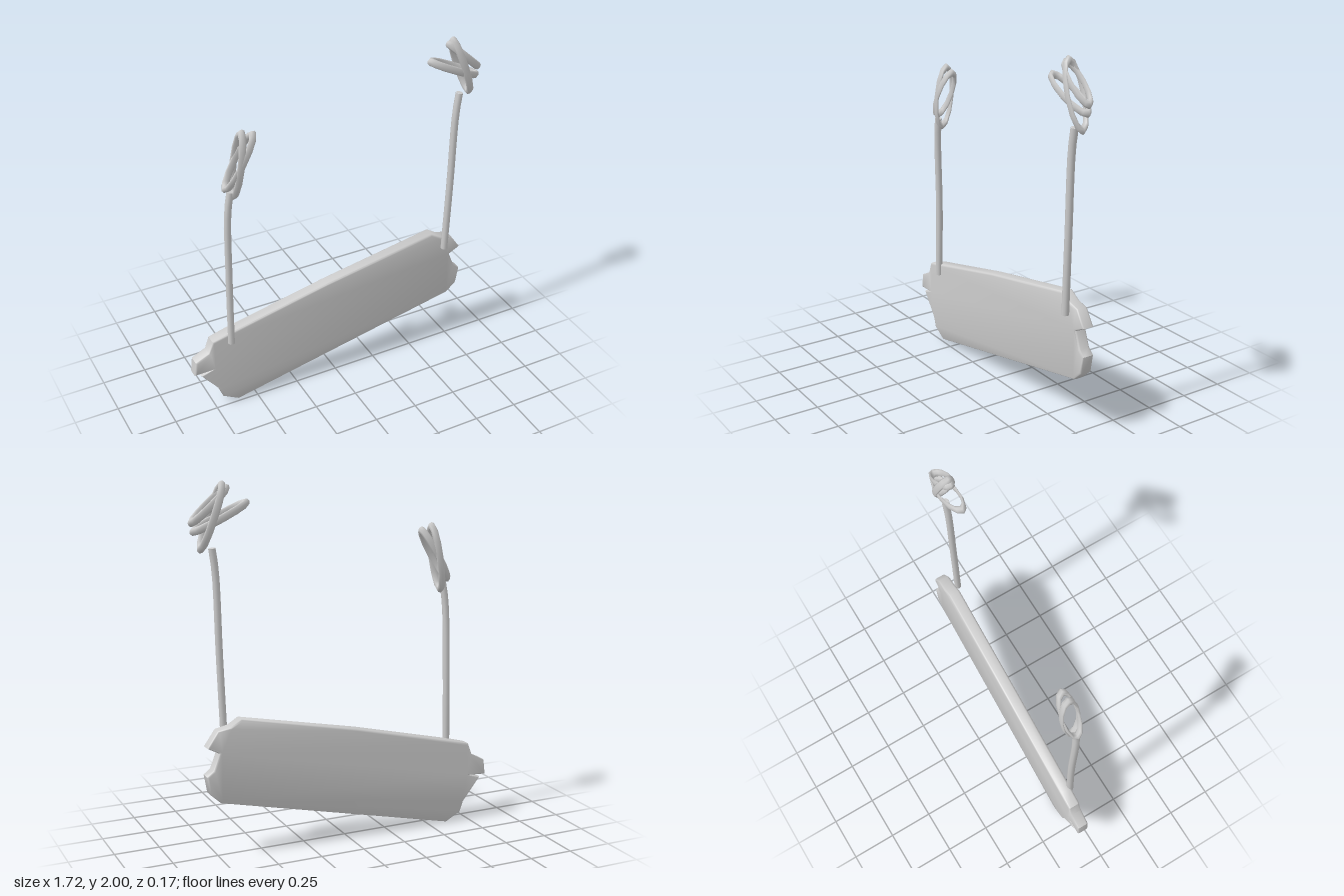
import * as THREE from 'three';
import { toCreasedNormals } from 'three/addons/utils/BufferGeometryUtils.js';

const material = new THREE.MeshStandardMaterial({ color: 0xcccccc });

function add(group, name, geometry) {
  const mesh = new THREE.Mesh(geometry, material);
  mesh.name = name;
  group.add(mesh);
  return mesh;
}

// Tilted plank with broken ends and softened edges
function boardGeometry() {
  const outline = [
    [-0.61, 0.005], [-0.7, 0.055], [-0.72, 0.115], [-0.825, 0.25], [-0.755, 0.27],
    [-0.86, 0.262], [-0.85, 0.35], [-0.77, 0.39], [-0.745, 0.46], [-0.65, 0.487],
    [-0.05, 0.63], [0.62, 0.765], [0.68, 0.728], [0.75, 0.712], [0.81, 0.625],
    [0.745, 0.59], [0.78, 0.5], [0.817, 0.47], [0.8, 0.37], [0.74, 0.315],
  ].map(([x, y]) => new THREE.Vector2(x, y));
  const bevel = 0.012;
  const geometry = new THREE.ExtrudeGeometry(new THREE.Shape(outline), {
    depth: 0.046, bevelThickness: bevel, bevelSize: bevel, bevelOffset: -bevel, bevelSegments: 3,
  });
  // The plank is turned slightly about the vertical
  const p = geometry.attributes.position;
  for (let i = 0; i < p.count; i++) p.setZ(i, p.getZ(i) - 0.023 - 0.036 + 0.02 * p.getX(i));
  return toCreasedNormals(geometry, 0.9);
}

// Slightly bent rope with closed ends
function addRope(group, name, points) {
  const rope = new THREE.Group();
  rope.name = name;
  const path = new THREE.CatmullRomCurve3(points.map((q) => new THREE.Vector3(...q)));
  add(rope, 'strand', new THREE.TubeGeometry(path, 12, 0.02, 8));
  for (const t of [0, 1]) {
    const cap = add(rope, 'ropeEnd', new THREE.CircleGeometry(0.02, 8));
    const out = path.getTangentAt(t).multiplyScalar(t ? 1 : -1);
    cap.position.copy(path.getPointAt(t));
    cap.quaternion.setFromUnitVectors(new THREE.Vector3(0, 0, 1), out);
  }
  group.add(rope);
}

// Narrow oval link spanning two end points, seen edge-on from the front
function addLink(group, [x1, y1, x2, y2, z, halfWidth]) {
  const half = Math.hypot(x2 - x1, y2 - y1) / 2;
  const geometry = new THREE.TorusGeometry(half - 0.021, 0.021, 8, 12);
  geometry.rotateX(Math.PI / 2);
  geometry.scale(1, 1, halfWidth / half);
  geometry.rotateZ(Math.atan2(y2 - y1, x2 - x1));
  geometry.translate((x1 + x2) / 2, (y1 + y2) / 2, z);
  add(group, 'link', geometry);
}

export function createModel() {
  const model = new THREE.Group();
  model.name = 'hangingSign';
  add(model, 'board', boardGeometry());

  addRope(model, 'rightRope', [[-0.637, 0.425, -0.012], [-0.628, 0.85, -0.016], [-0.618, 1.28, -0.006], [-0.6, 1.4, -0.002]]);
  addRope(model, 'leftRope', [[0.688, 0.667, 0.036], [0.702, 1.1, 0.037], [0.714, 1.54, 0.036], [0.73, 1.66, 0.034]]);

  // Loose knots of links above each rope
  const knots = {
    rightKnot: [
      [-0.585, 1.338, -0.517, 1.733, -0.012, 0.055],
      [-0.633, 1.397, -0.45, 1.71, -0.01, 0.052],
    ],
    leftKnot: [
      [0.522, 1.893, 0.845, 1.74, 0.033, 0.052],
      [0.663, 2.0, 0.797, 1.638, 0.033, 0.054],
      [0.632, 1.977, 0.85, 1.78, 0.033, 0.045],
    ],
  };
  for (const [name, links] of Object.entries(knots)) {
    const knot = new THREE.Group();
    knot.name = name;
    links.forEach((link) => addLink(knot, link));
    model.add(knot);
  }
  return model;
}
